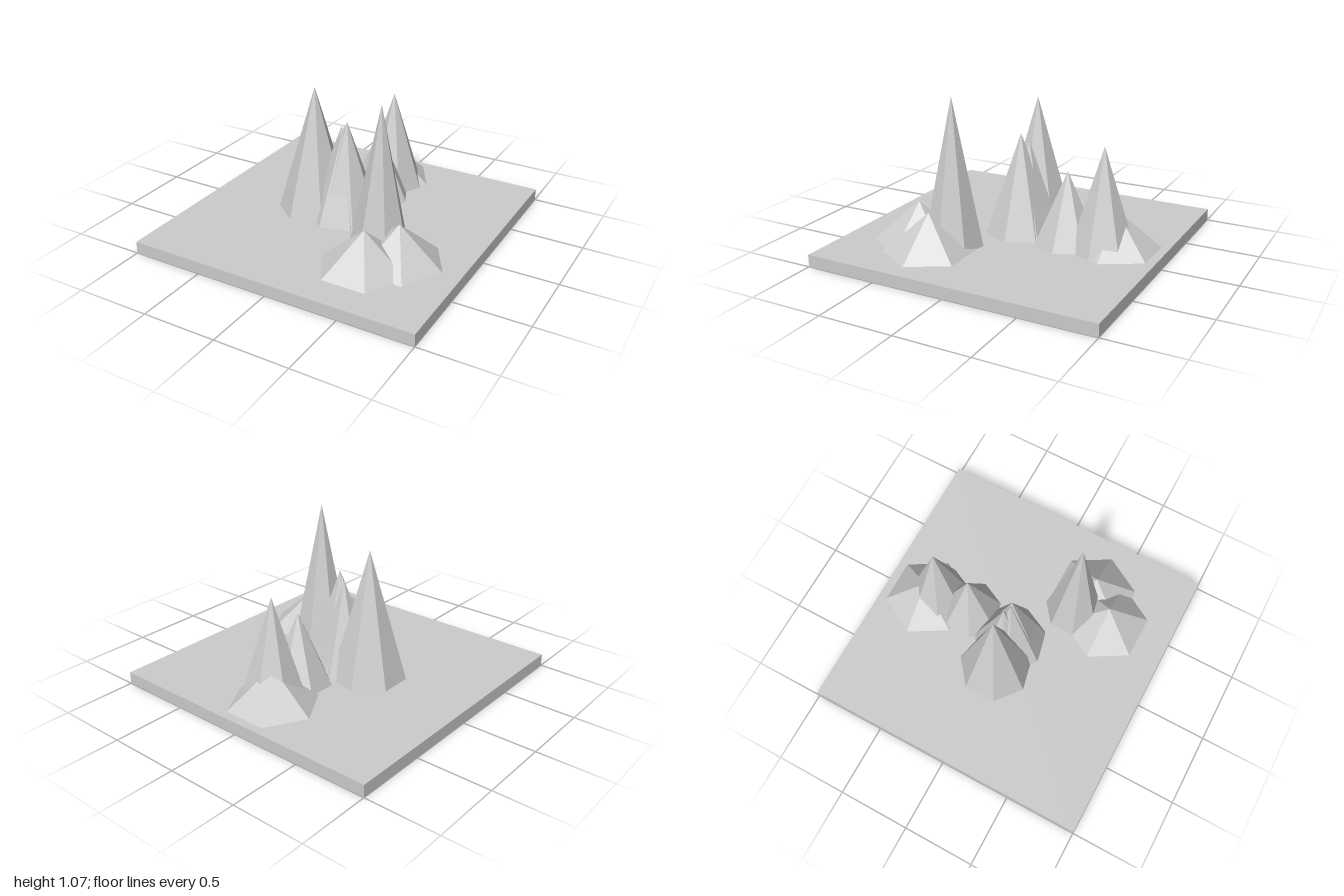
import * as THREE from 'three';

const GROUND = 0.083;

export function createModel() {
  const model = new THREE.Group();
  const material = new THREE.MeshStandardMaterial({ color: 0xcccccc, flatShading: true });

  // square ground slab
  const slab = new THREE.Mesh(new THREE.BoxGeometry(2, GROUND, 2), material);
  slab.name = 'groundSlab';
  slab.position.y = GROUND / 2;
  model.add(slab);

  // faceted cone standing on the slab, one corner pointing to +x
  function addCone(name, x, z, top, radius, sides) {
    const height = top - GROUND;
    const cone = new THREE.Mesh(new THREE.ConeGeometry(radius, height, sides), material);
    cone.name = name;
    cone.position.set(x, GROUND + height / 2, z);
    cone.rotation.y = Math.PI / 2;
    model.add(cone);
  }

  // steep seven-sided peaks: x, z, top, radius
  const peaks = [
    [-0.245, 0, 0.965, 0.256],
    [0, 0, 0.77, 0.238],
    [-0.02, 0, 0.74, 0.25],
    [-0.06, -0.03, 0.715, 0.22],
    [0.047, -0.364, 0.575, 0.22],
    [0.038, -0.61, 0.77, 0.22],
    [0.4, 0.283, 1.068, 0.2],
  ];
  peaks.forEach(([x, z, top, r], i) => addCone(`peak${i + 1}`, x, z, top, r, 7));

  // low six-sided hills: x, z
  const hills = [
    [-0.02, -0.68],
    [0.422, 0.533],
    [0.577, 0.36],
  ];
  hills.forEach(([x, z], i) => addCone(`hill${i + 1}`, x, z, 0.34, 0.3, 6));

  return model;
}
